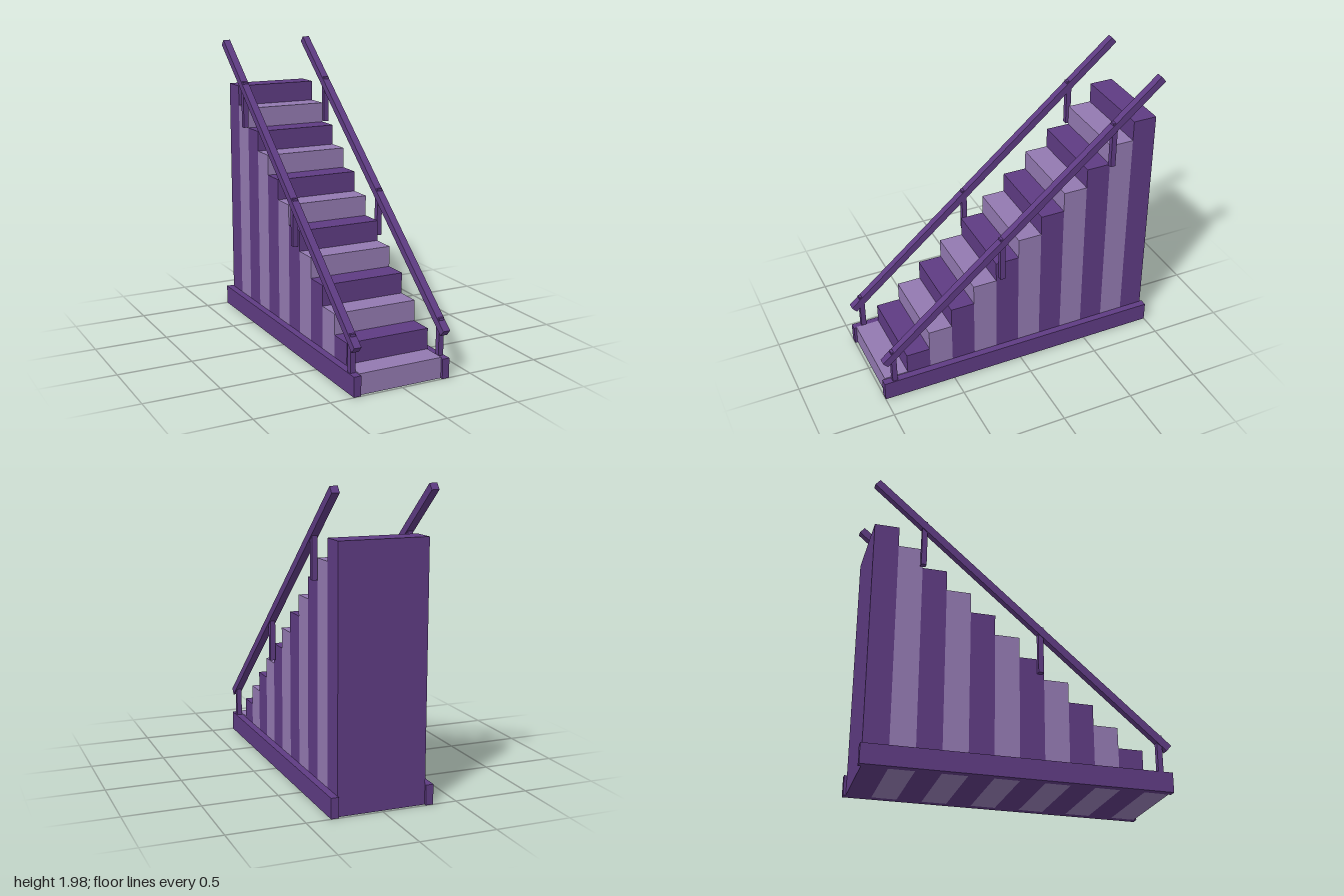
import * as THREE from 'three';

export function createModel() {
  const group = new THREE.Group();
  const dark = new THREE.MeshStandardMaterial({ name: 'dark purple', color: 0x5e3b82 });
  const light = new THREE.MeshStandardMaterial({ name: 'light purple', color: 0x9279b0 });

  function box(name, material, w, h, d, x, y, z) {
    const mesh = new THREE.Mesh(new THREE.BoxGeometry(w, h, d), material);
    mesh.name = name;
    mesh.position.set(x, y, z);
    group.add(mesh);
    return mesh;
  }

  // Twelve solid steps in alternating colours, rising to the back
  const count = 12, rise = 0.1388, run = 1.964 / count;
  for (let i = 0; i < count; i++) {
    const h = rise * (i + 1);
    box('step' + (i + 1), i % 2 ? dark : light, 0.584, h, run, 0, h / 2, 0.982 - run * (i + 0.5));
  }

  // Curb, handrail and posts on each side
  const railRise = 1.666, railRun = 1.968;
  const slope = railRise / railRun;
  const railY = (z) => 1.127 - z * slope;
  for (const [side, sx] of [['left', 1], ['right', -1]]) {
    const x = sx * 0.315;
    box(side + 'Curb', dark, 0.05, 0.132, 2, x, 0.066, 0);

    const rail = box(side + 'Handrail', dark, 0.05, 0.05, Math.hypot(railRise, railRun), x, railY(0), 0);
    rail.rotation.x = Math.atan(slope);

    // Posts reach through the rail to its upper face
    [0.922, 0.133, -0.655].forEach((z, i) => {
      const top = railY(z) + 0.034;
      box(side + 'Post' + (i + 1), dark, 0.035, 0.322, 0.035, x, top - 0.161, z);
    });
  }
  return group;
}
